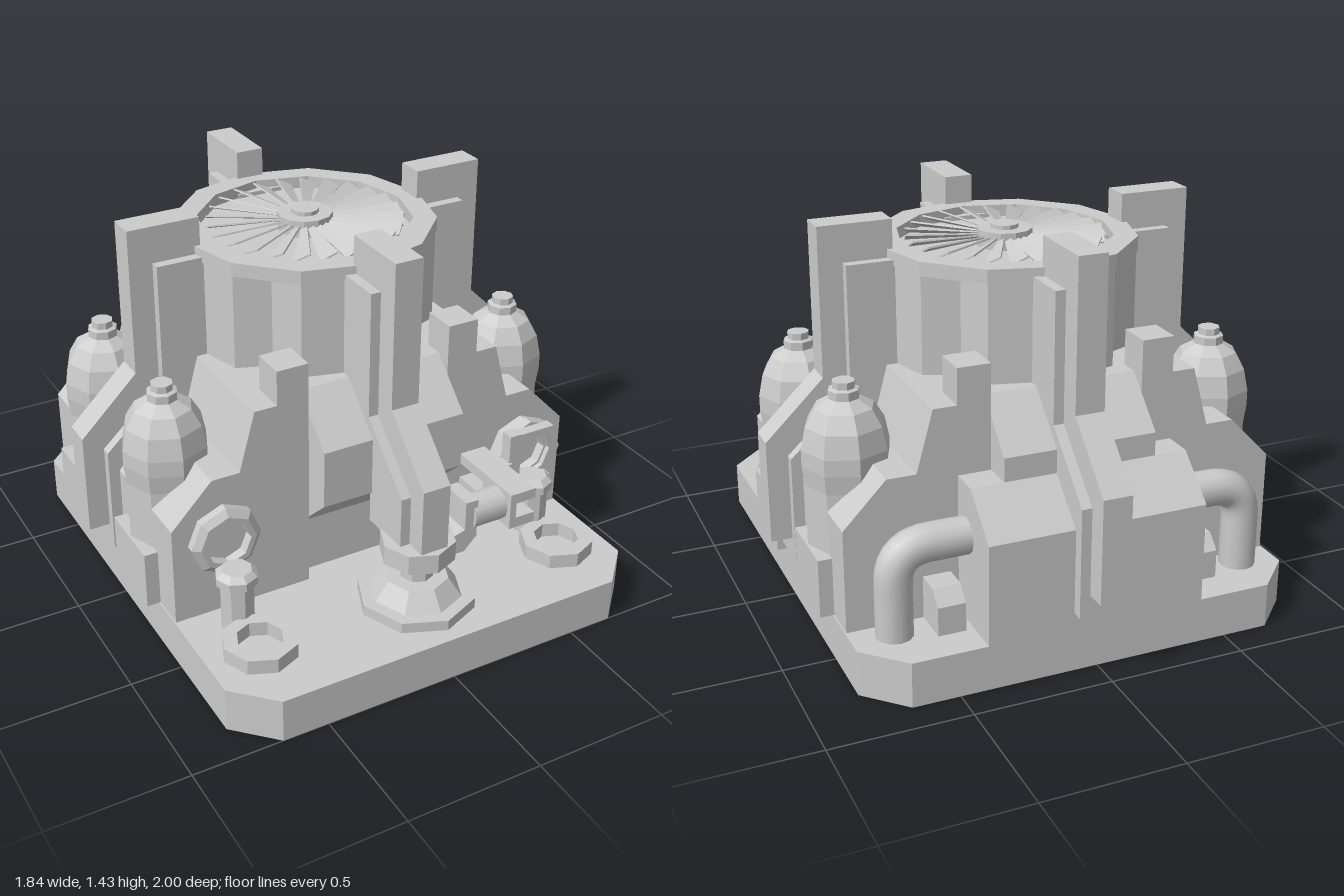
import * as THREE from 'three';

const CZ = -0.08; // z of the turbine axis
const flat = new THREE.MeshStandardMaterial({ color: 0xcccccc, flatShading: true });
const smooth = new THREE.MeshStandardMaterial({ color: 0xcccccc });

export function createModel() {
  const model = new THREE.Group();

  const add = (name, geo, x = 0, y = 0, z = 0, mat = flat, parent = model) => {
    const m = new THREE.Mesh(geo, mat);
    m.name = name;
    m.position.set(x, y, z);
    parent.add(m);
    return m;
  };
  // box given by its limits
  const box = (name, x0, x1, y0, y1, z0, z1) =>
    add(name, new THREE.BoxGeometry(x1 - x0, y1 - y0, z1 - z0), (x0 + x1) / 2, (y0 + y1) / 2, (z0 + z1) / 2);
  const toShape = (pts) => new THREE.Shape(pts.map(([a, b]) => new THREE.Vector2(a, b)));
  const extrude = (shape, depth) => new THREE.ExtrudeGeometry(shape, { depth, bevelEnabled: false });
  // plan outline raised upwards
  const slab = (shape, height) => extrude(shape, height).rotateX(-Math.PI / 2);
  // profile (distance, height) with thickness centred on its plane
  const plate = (pts, w) => extrude(toShape(pts), w).translate(0, 0, -w / 2);
  const lathe = (pts, sides) => new THREE.LatheGeometry(pts.map(([r, y]) => new THREE.Vector2(r, y)), sides);
  const ngon = (r, n) => Array.from({ length: n }, (_, i) => {
    const a = (i / n) * Math.PI * 2;
    return [r * Math.cos(a), r * Math.sin(a)];
  });

  // Base plate with cut corners and a groove underneath
  const plan = [[-0.67, 0.885], [0.67, 0.885], [0.81, 0.745], [0.81, -0.86], [0.67, -1], [-0.67, -1], [-0.81, -0.86], [-0.81, 0.745]].reverse();
  const sole = toShape(plan);
  sole.holes.push(toShape([[-0.5, -0.81], [-0.5, -0.7], [0.5, -0.7], [0.5, -0.81]]));
  add('baseSole', slab(sole, 0.04));
  add('basePlate', slab(toShape(plan), 0.125), 0, 0.04);

  // Core and the front and back housings
  box('core', -0.4, 0.4, 0.165, 0.92, -0.56, 0.4);
  const frontHousing = add('frontHousing', plate([[0, 0.38], [0.4, 0.38], [0.57, 0.54], [0.57, 0.755], [0.4, 0.92], [0, 0.92]], 0.56));
  frontHousing.rotation.y = -Math.PI / 2;
  const backUpper = add('backUpperHousing', plate([[0, 0.3], [0.73, 0.3], [0.73, 0.755], [0.56, 0.92], [0, 0.92]], 0.56));
  backUpper.rotation.y = Math.PI / 2;
  const backLower = add('backLowerHousing', plate([[0.3, 0.165], [0.885, 0.165], [0.885, 0.53], [0.73, 0.67], [0.3, 0.67]], 0.8));
  backLower.rotation.y = Math.PI / 2;

  // Side blocks, corner posts, tanks, pipes and front fittings on both sides
  for (const s of [1, -1]) {
    const prof = [[0.28, 0.165], [0.805, 0.165], [0.805, 0.54], [0.65, 0.7], [0.545, 0.7], [0.485, 0.92], [0.28, 0.92]];
    const pts = prof.map(([x, y]) => [s * x, y]);
    add('sideBlock', plate(s > 0 ? pts : pts.reverse(), 1.08), 0, 0, CZ);

    for (const d of [1, -1]) {
      const post = new THREE.BoxGeometry(0.12, 0.885, 0.13);
      add('cornerPost', post, s * 0.34, 0.6075, CZ + d * 0.475);

      // Tank on its support
      const z = CZ + d * 0.27;
      add('tankSupport', new THREE.BoxGeometry(0.3, 0.215, 0.274), s * 0.705, 0.2725, z);
      add('tank', lathe([[0, 0.37], [0.148, 0.37], [0.148, 0.6], [0.157, 0.67], [0.157, 0.73], [0.14, 0.81], [0.105, 0.87], [0.055, 0.9], [0, 0.9]], 8), s * 0.7, 0, z);
      add('tankCap', lathe([[0.055, 0.88], [0.055, 0.93], [0.04, 0.935], [0.04, 0.96], [0, 0.96]], 8), s * 0.7, 0, z);
    }

    // Rear elbow pipe
    const path = new THREE.CurvePath();
    const v = (x, y) => new THREE.Vector3(s * x, y, -0.69);
    path.add(new THREE.LineCurve3(v(0.66, 0.16), v(0.66, 0.36)));
    path.add(new THREE.QuadraticBezierCurve3(v(0.66, 0.36), v(0.66, 0.485), v(0.53, 0.485)));
    path.add(new THREE.LineCurve3(v(0.53, 0.485), v(0.36, 0.485)));
    add('elbowPipe', new THREE.TubeGeometry(path, 24, 0.066, 12), 0, 0, 0, smooth);
    const foot = add('pipeFootBlock', plate([[0.6, 0.165], [0.76, 0.165], [0.76, 0.27], [0.71, 0.32], [0.6, 0.32]], 0.1), s * 0.48);
    foot.rotation.y = Math.PI / 2;

    // Octagonal port on the front wall
    const port = lathe([[0.08, 0], [0.085, 0.05], [0.105, 0.05], [0.132, 0.03], [0.132, 0]], 8).rotateX(Math.PI / 2);
    port.scale(1, 1, 1);
    add('wallPort', port, s * 0.615, 0.465, 0.46).material = new THREE.MeshStandardMaterial({ color: 0xcccccc, flatShading: true, side: THREE.DoubleSide });
    add('portFace', new THREE.CylinderGeometry(0.09, 0.09, 0.02, 8).rotateX(Math.PI / 2), s * 0.615, 0.465, 0.465);

    // Upright valve post and floor ring in front of it
    add('valvePost', lathe([[0.062, 0.165], [0.062, 0.345], [0.077, 0.345], [0.077, 0.375], [0.055, 0.395], [0, 0.395]], 8), s * 0.615, 0, 0.56);
    const ring = toShape(ngon(0.135, 8));
    ring.holes.push(toShape(ngon(0.082, 8)));
    add('floorRing', slab(ring, 0.055), s * 0.615, 0.165, 0.73);
  }

  // Buttress fins with a wider rib behind each, around the turbine
  for (let i = 0; i < 4; i++) {
    const front = i === 3;
    const [finEnd, ribEnd] = front ? [0.4, 0.42] : [0.3, 0.22];
    const g = new THREE.Group();
    g.name = 'buttress';
    g.position.z = CZ;
    g.rotation.y = (i * Math.PI) / 2;
    model.add(g);
    add('fin', plate([[0.44, 0.85], [0.71, 0.6], [0.71, finEnd], [0.922, finEnd], [0.922, 0.68], [0.707, 0.89], [0.707, 1.43], [0.44, 1.43]], 0.106), 0, 0, 0, flat, g);
    add('rib', plate([[0.36, 0.8], [0.64, 0.55], [0.64, ribEnd], [0.845, ribEnd], [0.845, 0.62], [0.62, 0.83], [0.62, 1.295], [0.36, 1.295]], 0.18), 0, 0, 0, flat, g);
  }

  // Turbine drum, dented inwards on its diagonals
  const drum = [];
  for (let i = 0; i < 4; i++) {
    for (const [deg, r] of [[0, 0.47], [30, 0.47], [45, 0.4], [60, 0.47]]) {
      const a = ((deg + i * 90) * Math.PI) / 180;
      drum.push([r * Math.cos(a), r * Math.sin(a)]);
    }
  }
  add('drum', slab(toShape(drum), 0.37), 0, 0.91, CZ);
  const rim = toShape(ngon(0.475, 12));
  rim.holes.push(toShape(ngon(0.39, 12)));
  add('drumRim', slab(rim, 0.05), 0, 1.275, CZ);

  // Fan with pitched blades and a stepped hub
  const fan = new THREE.Group();
  fan.name = 'fan';
  fan.position.set(0, 1.318, CZ);
  model.add(fan);
  for (let i = 0; i < 24; i++) {
    const arm = new THREE.Group();
    arm.name = 'fanBlade';
    arm.rotation.y = (i / 24) * Math.PI * 2;
    fan.add(arm);
    const geo = new THREE.BoxGeometry(0.29, 0.006, 0.066);
    const p = geo.attributes.position;
    for (let k = 0; k < p.count; k++) if (p.getX(k) < 0) p.setZ(k, p.getZ(k) * 0.3);
    const blade = add('blade', geo, 0.21, 0, 0, flat, arm);
    blade.rotation.x = 0.45;
  }
  add('fanHub', lathe([[0.1, -0.04], [0.1, 0.025], [0.05, 0.025], [0.05, 0.04], [0, 0.04]], 12), 0, 0, 0, flat, fan);

  // Nozzle below the front fin
  add('nozzleFoot', lathe([[0.213, 0.165], [0.213, 0.205], [0.165, 0.205], [0.115, 0.272], [0, 0.272]], 8), 0, 0, 0.735);
  add('nozzleStem', new THREE.CylinderGeometry(0.06, 0.06, 0.1, 8), 0, 0.315, 0.735);
  add('nozzleCollar', new THREE.CylinderGeometry(0.135, 0.135, 0.075, 8), 0, 0.393, 0.735);

  // Linkage from the nozzle to the left valve wheel
  const elbow = plate([[0.1, 0.33], [0.17, 0.33], [0.22, 0.38], [0.22, 0.53], [0.17, 0.53], [0.17, 0.42], [0.1, 0.4]], 0.13);
  add('linkElbow', elbow, 0, 0, 0.71);
  add('linkPipe', new THREE.CylinderGeometry(0.062, 0.062, 0.15, 12).rotateZ(Math.PI / 2), 0.28, 0.46, 0.73, smooth);
  box('bracketBack', 0.335, 0.36, 0.39, 0.53, 0.64, 0.81);
  box('bracketTop', 0.335, 0.44, 0.49, 0.53, 0.49, 0.81);
  box('bracketBottom', 0.335, 0.44, 0.39, 0.43, 0.49, 0.81);
  box('bracketArm', 0.4, 0.5, 0.43, 0.49, 0.53, 0.59);
  box('wheelBar', 0.49, 0.54, 0.32, 0.6, 0.53, 0.58);
  for (const y of [0.56, 0.35]) box('wheelSpoke', 0.52, 0.69, y, y + 0.03, 0.53, 0.57);
  const wheel = toShape(ngon(0.14, 8));
  wheel.holes.push(toShape(ngon(0.095, 8)));
  add('valveWheel', extrude(wheel, 0.04), 0.615, 0.465, 0.49);

  return model;
}
